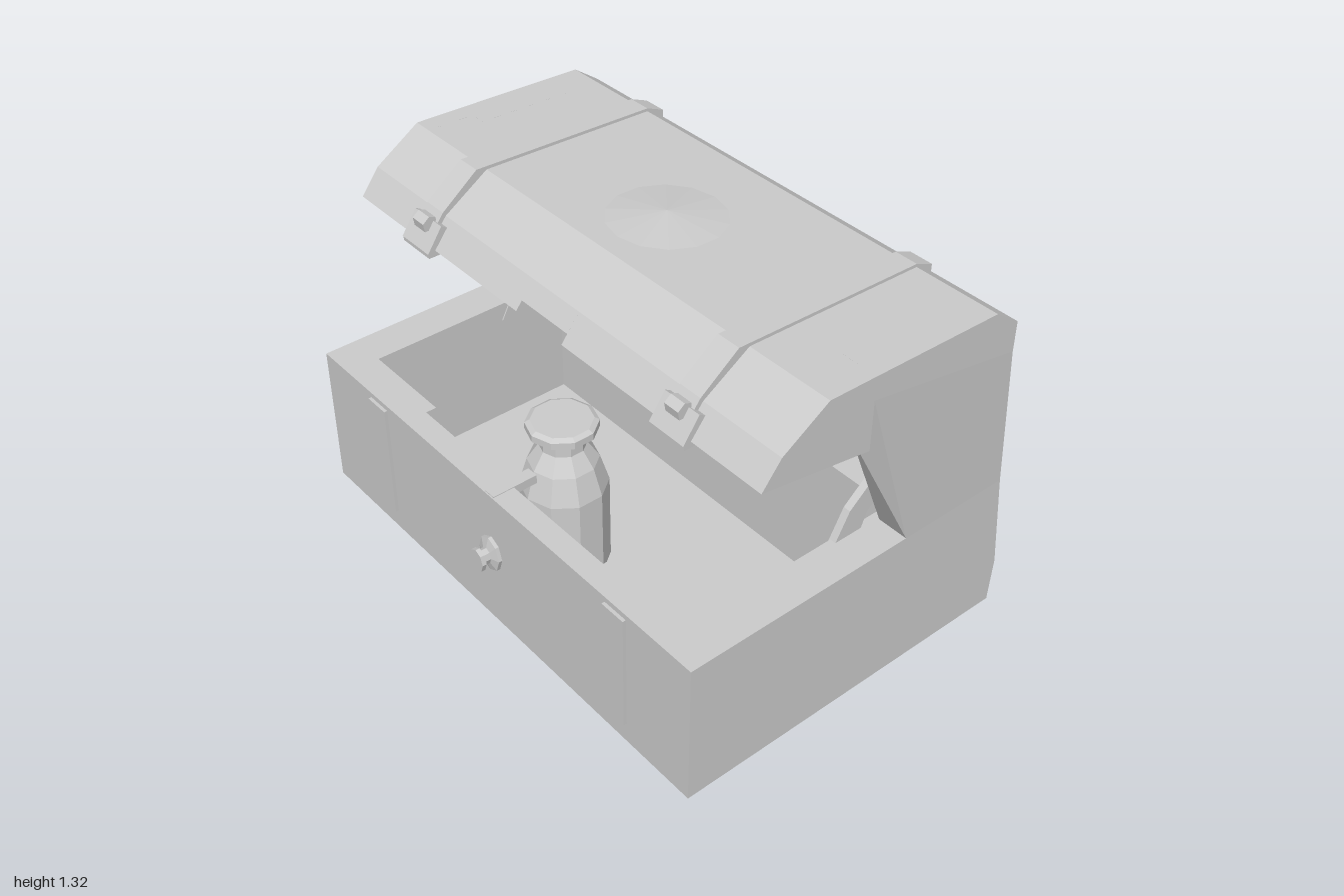
import * as THREE from 'three';

const grey = new THREE.MeshStandardMaterial({ color: 0xcccccc, side: THREE.DoubleSide, flatShading: true });
grey.name = 'plain grey';

export function createModel() {
  const root = new THREE.Group();
  root.name = 'openChest';

  const add = (name, geometry) => {
    const mesh = new THREE.Mesh(geometry, grey);
    mesh.name = name;
    root.add(mesh);
    return mesh;
  };
  // box given by its lower and upper corners
  const box = (name, [x0, y0, z0], [x1, y1, z1]) =>
    add(name, new THREE.BoxGeometry(x1 - x0, y1 - y0, z1 - z0)
      .translate((x0 + x1) / 2, (y0 + y1) / 2, (z0 + z1) / 2));
  // side profile of [z, y] points, extruded along x from a to b
  const prism = (name, points, a, b) => {
    const shape = new THREE.Shape(points.map(([z, y]) => new THREE.Vector2(-z, y)));
    const x0 = Math.min(a, b);
    const geo = new THREE.ExtrudeGeometry(shape, { depth: Math.abs(b - a), bevelEnabled: false });
    return add(name, geo.rotateY(Math.PI / 2).translate(x0, 0, 0));
  };

  // base tray: floor and front wall with a wider recess in the middle
  box('floor', [-0.84, 0, -0.28], [0.84, 0.05, 0.56]);
  box('frontWall', [-0.84, 0, 0.56], [0.84, 0.55, 0.645]);
  for (const s of [-1, 1]) {
    box('frontWallThickening', [s < 0 ? -0.84 : 0.48, 0.05, 0.52], [s < 0 ? -0.48 : 0.84, 0.55, 0.56]);
  }

  // back wall with an inner ledge
  prism('backWall', [[-0.28, 0], [-0.28, 0.57], [-0.57, 0.57], [-0.55, 1.1], [-0.6, 1.1],
    [-0.71, 0.17], [-0.7, 0]], -0.87, 0.87);

  // lid shell in three lengths, the middle one cut short at the front lip
  const lidOuter = [[0.35, 1.19], [0.18, 1.3], [-0.5, 1.28], [-0.6, 1.21], [-0.6, 1.09]];
  const lidInner = [[-0.55, 1.09], [-0.55, 1.2], [-0.48, 1.24], [0.16, 1.25], [0.31, 1.16]];
  const lip = [[0.37, 1.1], [0.42, 1.1]];
  const cutLip = [[0.335, 1.13], [0.397, 1.13]];
  prism('lidShell', [...lidOuter, ...lidInner, ...lip], -0.93, -0.115);
  prism('lidShellCentre', [...lidOuter, ...lidInner, ...cutLip], -0.115, 0.115);
  prism('lidShell', [...lidOuter, ...lidInner, ...lip], 0.115, 0.93);

  for (const s of [-1, 1]) {
    // base side wall
    prism('baseSide', [[0.645, 0], [0.645, 0.55], [-0.665, 0.55], [-0.71, 0.17], [-0.7, 0]], s * 0.84, s * 0.985);

    // upper side wall, leaning in slightly towards the base
    const upper = prism('upperSide', [[-0.23, 0.55], [0, 1.21], [0, 1.295], [-0.5, 1.28],
      [-0.6, 1.21], [-0.6, 1.1], [-0.665, 0.55]], s * 0.87, s);
    const p = upper.geometry.attributes.position;
    for (let i = 0; i < p.count; i++) {
      if (p.getY(i) < 0.6 && Math.abs(p.getX(i)) > 0.95) p.setX(i, s * 0.985);
    }

    // lid end cheek
    prism('lidEnd', [[0, 1.03], [0.42, 1.1], [0.35, 1.19], [0.18, 1.3], [0, 1.295]], s * 0.93, s);

    // folded web between lid end and base
    const A = [s, 1.21, 0], A2 = [s * 0.87, 1.21, 0], B = [s * 0.93, 1.03, 0];
    const C = [s * 0.985, 0.55, -0.23], E = [s * 0.87, 0.55, -0.23];
    const faces = [[A, B, C], [B, E, C], [A2, E, B], [A, A2, B]];
    const web = new THREE.BufferGeometry();
    web.setAttribute('position', new THREE.Float32BufferAttribute(
      faces.flatMap(([a, b, c]) => (s > 0 ? [a, b, c] : [a, c, b])).flat(), 3));
    web.computeVertexNormals();
    add('sideWeb', web);

    // bent lid stay
    prism('lidStay', [[-0.01, 0.48], [-0.1, 0.65], [-0.22, 0.755], [-0.29, 0.7],
      [-0.18, 0.61], [-0.13, 0.48]], s * 0.835, s * 0.862);

    // strap over the lid and its continuation on the front
    const x = s * 0.635;
    prism('lidStrap', [[0.44, 1.1], [0.36, 1.205], [0.22, 1.313], [-0.5, 1.291], [-0.57, 1.262],
      [-0.57, 1.23], [-0.5, 1.27], [0.18, 1.29], [0.34, 1.19], [0.41, 1.1]], x - 0.044, x + 0.044);
    box('frontStrap', [s * 0.643 - 0.05, 0.08, 0.64], [s * 0.643 + 0.05, 0.53, 0.657]);

    // buckle: plate, foot and raised catch
    prism('bucklePlate', [[0.448, 1.095], [0.39, 1.18], [0.365, 1.165], [0.41, 1.095]], x - 0.075, x + 0.075);
    box('buckleFoot', [x - 0.075, 1.078, 0.33], [x + 0.075, 1.098, 0.445]);
    prism('buckleCatch', [[0.425, 1.15], [0.43, 1.18], [0.405, 1.2], [0.38, 1.19], [0.38, 1.15]],
      x - 0.03, x + 0.03);
  }

  // shallow domed disc on the lid
  const disc = add('lidDisc', new THREE.ConeGeometry(0.2, 0.022, 14, 1));
  disc.position.set(0, 1.308, -0.09);
  disc.rotation.x = -0.03;

  // jar standing in the tray
  const lathe = (points, sides) =>
    new THREE.LatheGeometry(points.map(([r, y]) => new THREE.Vector2(r, y)), sides);
  add('jar', lathe([[0, 0.05], [0.11, 0.05], [0.15, 0.12], [0.15, 0.45], [0.12, 0.55], [0.08, 0.61],
    [0.08, 0.65], [0.122, 0.675], [0.122, 0.7], [0.105, 0.71], [0, 0.71]], 10)).position.z = 0.345;

  // tap on the front, with its feed bar set into the rim
  const tap = add('tap', lathe([[0.055, 0], [0.055, 0.015], [0.025, 0.025], [0.025, 0.045],
    [0.036, 0.05], [0.036, 0.066], [0, 0.066]], 8));
  tap.rotation.x = Math.PI / 2;
  tap.scale.z = 1.25;
  tap.position.set(0, 0.305, 0.643);
  box('feedBar', [-0.022, 0.52, 0.47], [0.022, 0.553, 0.64]);

  return root;
}
